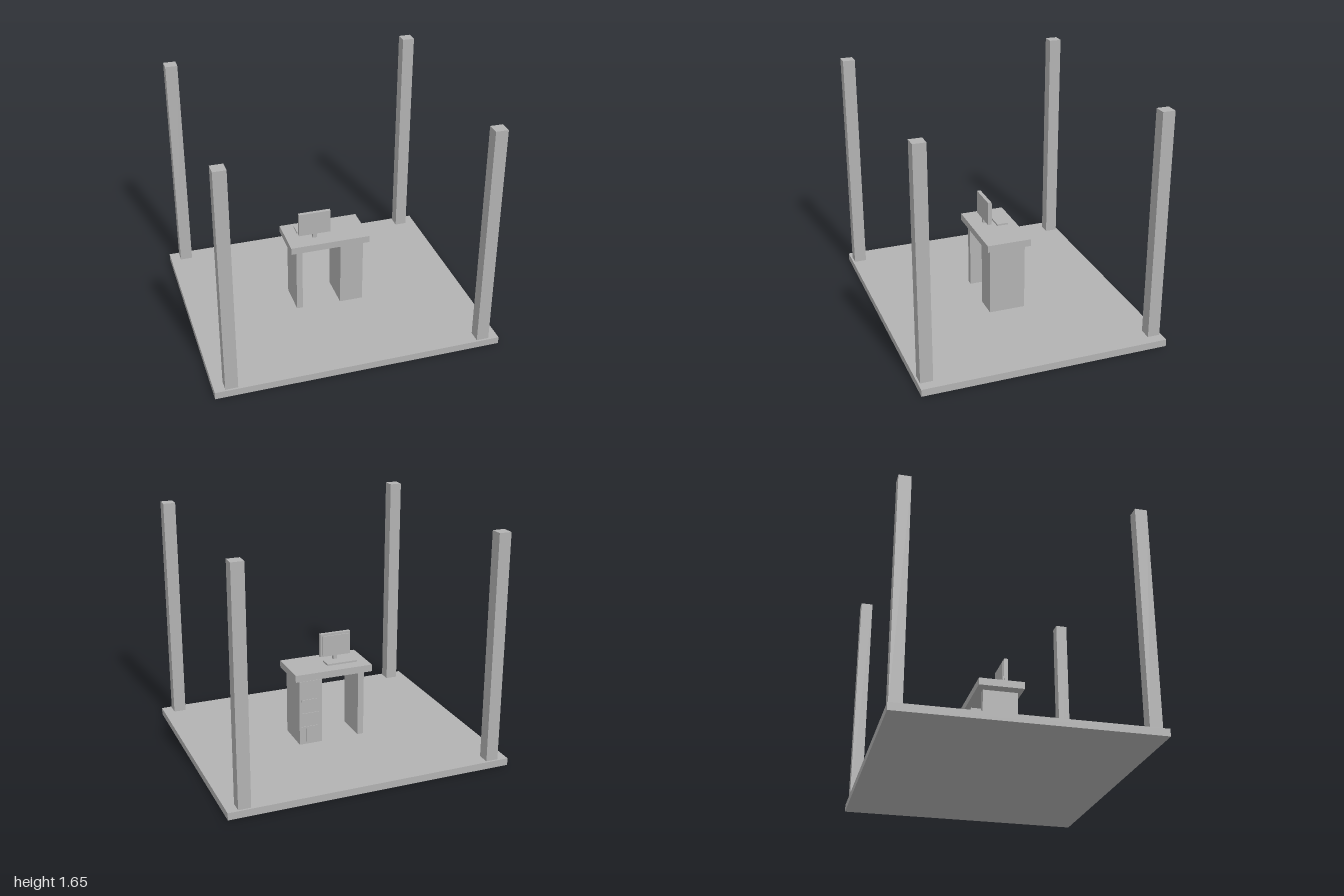
import * as THREE from 'three';

export function createModel() {
  const model = new THREE.Group();
  model.name = 'deskPavilion';
  const grey = new THREE.MeshStandardMaterial({ color: 0xb2b2b2 });
  grey.name = 'plain grey';

  // Box given by its lower and upper limits on each axis
  const box = (name, [x0, x1], [y0, y1], [z0, z1], parent = model) => {
    const mesh = new THREE.Mesh(new THREE.BoxGeometry(x1 - x0, y1 - y0, z1 - z0), grey);
    mesh.position.set((x0 + x1) / 2, (y0 + y1) / 2, (z0 + z1) / 2);
    mesh.name = name;
    parent.add(mesh);
    return mesh;
  };
  const group = (name) => {
    const g = new THREE.Group();
    g.name = name;
    model.add(g);
    return g;
  };

  // Floor and four corner posts
  box('floor', [-1, 1], [0, 0.05], [-0.857, 0.857]);
  for (const x of [-0.885, 0.885]) {
    for (const z of [-0.8, 0.8]) {
      box('cornerPost', [x - 0.043, x + 0.043], [0.05, 1.65], [z - 0.043, z + 0.043]);
    }
  }

  // Desk: top, side panel and drawer pedestal
  const desk = group('desk');
  box('deskTop', [-0.287, 0.285], [0.54, 0.59], [-0.158, 0.158], desk);
  box('sidePanel', [-0.242, -0.198], [0.05, 0.525], [-0.121, 0.121], desk);
  box('pedestal', [0.08, 0.248], [0.05, 0.525], [-0.128, 0.13], desk);
  box('drawerStrip', [0.19, 0.196], [0.05, 0.525], [-0.13, -0.128], desk);
  for (const y of [0.176, 0.278, 0.38]) {
    box('drawerHandle', [0.105, 0.235], [y - 0.008, y + 0.008], [-0.133, -0.128], desk);
  }

  // Monitor facing the drawer side, with its stand
  const monitor = group('monitor');
  box('monitorCase', [-0.203, 0.026], [0.62, 0.79], [0.037, 0.063], monitor);
  box('screen', [-0.19, 0.013], [0.635, 0.775], [0.029, 0.037], monitor);
  box('monitorStand', [-0.103, -0.074], [0.59, 0.62], [0.037, 0.063], monitor);

  box('keyboard', [-0.2, 0.022], [0.6, 0.612], [-0.09, -0.008]);
  return model;
}
